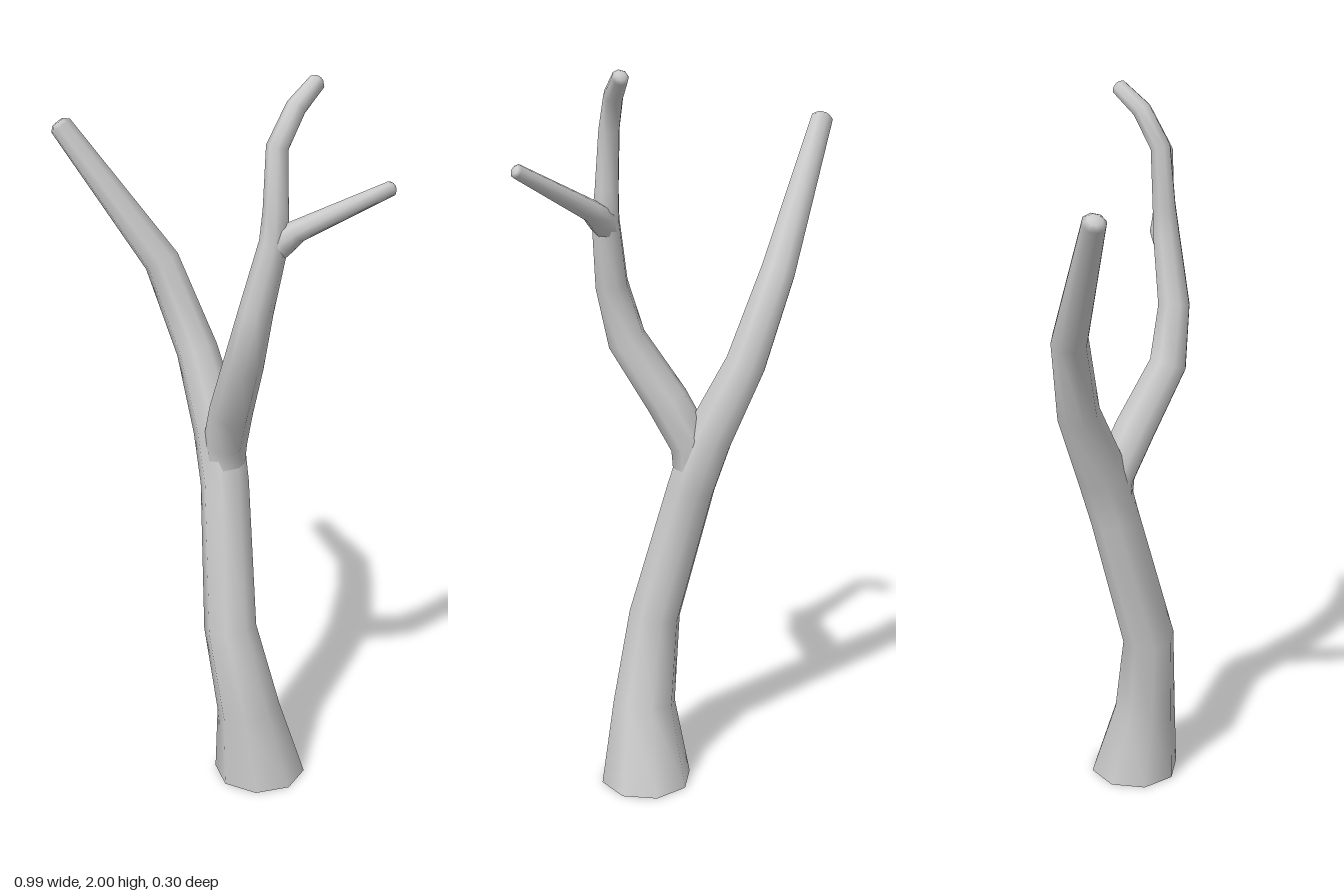
import * as THREE from 'three';

const SIDES = 8;
const material = new THREE.MeshStandardMaterial({ color: 0xcccccc, side: THREE.DoubleSide });

// Sweeps an eight-sided ring along stations [x, y, z, radius], closing the far end with a blunt tip.
function limb(name, stations, startDirection) {
  const centres = stations.map(([x, y, z]) => new THREE.Vector3(x, y, z));
  const last = centres.length - 1;
  const rings = centres.map((centre, i) => {
    const before = i > 0 ? centre.clone().sub(centres[i - 1]).normalize() : new THREE.Vector3();
    const after = i < last ? centres[i + 1].clone().sub(centre).normalize() : new THREE.Vector3();
    const direction = i === 0 && startDirection ? startDirection : before.add(after).normalize();
    return { centre, direction, radius: stations[i][3] };
  });

  // Blunt tip: a small bevel, then a flat end
  const { centre, direction, radius } = rings[last];
  for (const scale of [0.6, 0]) {
    rings.push({ centre: centre.clone().addScaledVector(direction, radius * 0.4), direction, radius: radius * scale });
  }

  const positions = [];
  const indices = [];
  const u = new THREE.Vector3(1, 0, 0);
  rings.forEach((ring, i) => {
    // Carry the ring's axis along so the limb does not twist
    u.addScaledVector(ring.direction, -u.dot(ring.direction)).normalize();
    const v = ring.direction.clone().cross(u);
    for (let j = 0; j < SIDES; j++) {
      const angle = ((j + 0.5) / SIDES) * Math.PI * 2;
      const p = ring.centre.clone()
        .addScaledVector(u, Math.cos(angle) * ring.radius * 1.04)
        .addScaledVector(v, Math.sin(angle) * ring.radius * 1.04);
      positions.push(p.x, p.y, p.z);
      if (i === rings.length - 1) continue;
      const a = i * SIDES + j;
      const b = i * SIDES + ((j + 1) % SIDES);
      indices.push(a, b, a + SIDES);
      if (i < rings.length - 2) indices.push(b, b + SIDES, a + SIDES);
    }
  });

  const geometry = new THREE.BufferGeometry();
  geometry.setAttribute('position', new THREE.Float32BufferAttribute(positions, 3));
  geometry.setIndex(indices);
  geometry.computeVertexNormals();
  const mesh = new THREE.Mesh(geometry, material);
  mesh.name = name;
  return mesh;
}

export function createModel() {
  const tree = new THREE.Group();
  tree.name = 'bareTree';

  // Trunk, open at the foot, running on into the large right branch
  tree.add(limb('trunkAndRightBranch', [
    [0.133, 0, 0.013, 0.122],
    [0.113, 0.22, 0.047, 0.085],
    [0.063, 0.47, 0.063, 0.07],
    [0.0, 0.86, -0.022, 0.064],
    [-0.035, 1.0, -0.05, 0.066],
    [-0.125, 1.2, -0.095, 0.055],
    [-0.232, 1.435, -0.095, 0.047],
    [-0.47, 1.8, 0.013, 0.03],
  ], new THREE.Vector3(0, 1, 0)));

  // Left branch, forking out of the trunk and bending over at its top
  tree.add(limb('leftBranch', [
    [0.0, 0.9, -0.025, 0.05],
    [0.0, 0.98, -0.025, 0.057],
    [0.045, 1.1, 0.025, 0.056],
    [0.12, 1.265, 0.103, 0.051],
    [0.16, 1.42, 0.112, 0.043],
    [0.195, 1.6, 0.085, 0.036],
    [0.195, 1.68, 0.078, 0.031],
    [0.192, 1.835, 0.068, 0.027],
    [0.215, 1.925, 0.015, 0.025],
    [0.24, 1.978, -0.05, 0.021],
  ]));

  // Side twig on the left branch
  tree.add(limb('twig', [
    [0.19, 1.57, 0.085, 0.03],
    [0.215, 1.605, 0.075, 0.036],
    [0.25, 1.632, 0.068, 0.028],
    [0.485, 1.765, 0.041, 0.018],
  ]));

  return tree;
}
